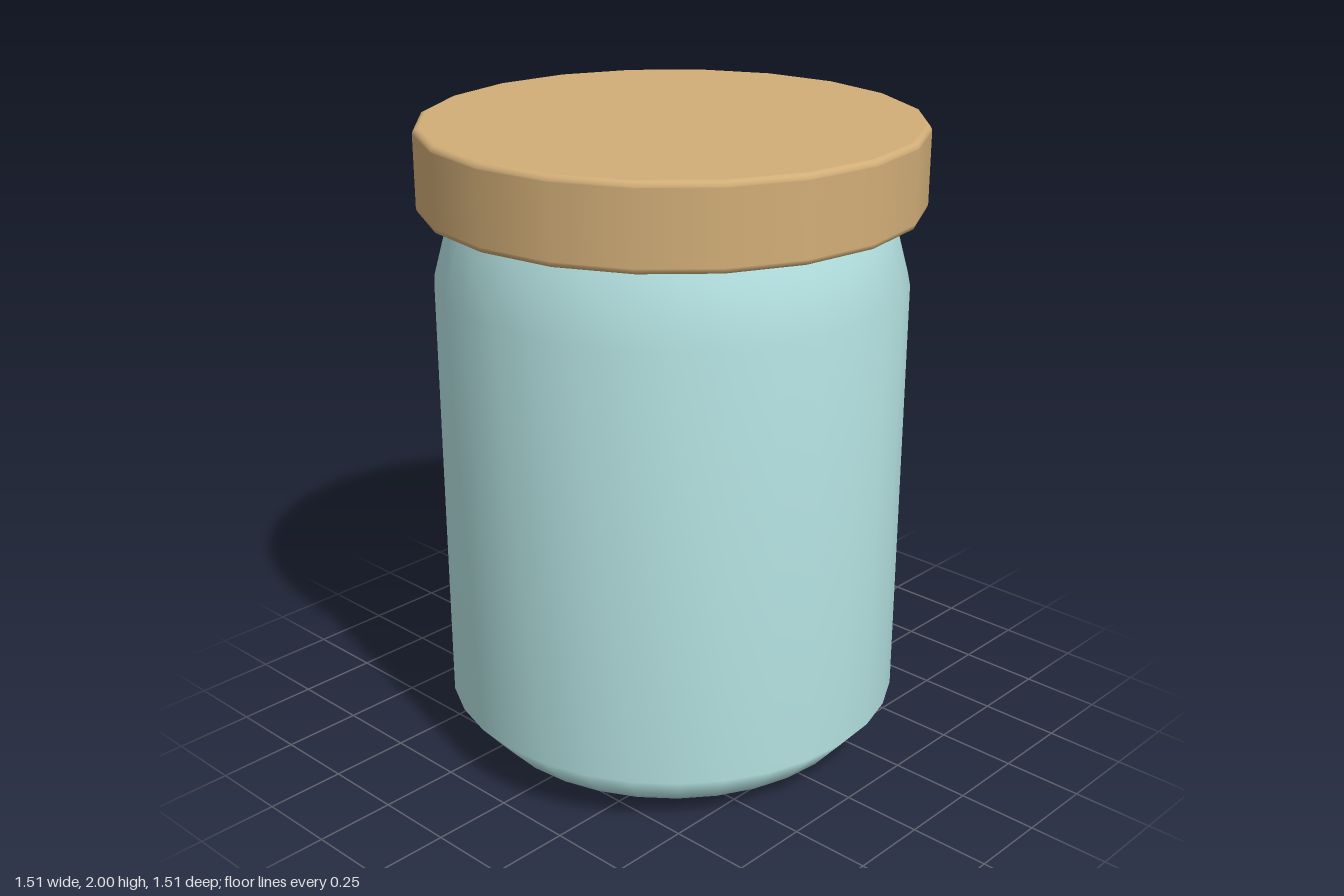
import * as THREE from 'three';

// Turn a profile of [radius, height] pairs, listed bottom to top, about the y axis
function turned(name, profile, segments, color, side = THREE.FrontSide) {
  const points = profile.map(([r, y]) => new THREE.Vector2(r, y));
  const material = new THREE.MeshStandardMaterial({ color, side });
  const mesh = new THREE.Mesh(new THREE.LatheGeometry(points, segments), material);
  mesh.name = name;
  return mesh;
}

export function createModel() {
  const group = new THREE.Group();
  group.name = 'lidded jar';

  // Open glass body: shallow conical base, chamfered foot, straight wall, tapered shoulder
  group.add(turned('jarBody', [
    [0, 0], [0.615, 0.062], [0.717, 0.18], [0.717, 1.525], [0.66, 1.735],
  ], 32, 0xb8e6e6, THREE.DoubleSide));

  // Wooden lid: solid disc with small bevels; close-set points keep the faces flat
  const radius = 0.757, bottom = 1.75, top = 2, bevel = 0.014;
  group.add(turned('lid', [
    [0, bottom],
    [radius - bevel - 0.004, bottom],
    [radius - bevel, bottom],
    [radius - bevel * 0.3, bottom + bevel * 0.3],
    [radius, bottom + bevel],
    [radius, bottom + bevel + 0.004],
    [radius, top - bevel - 0.004],
    [radius, top - bevel],
    [radius - bevel * 0.3, top - bevel * 0.3],
    [radius - bevel, top],
    [radius - bevel - 0.004, top],
    [0, top],
  ], 20, 0xd2ae78));

  return group;
}
